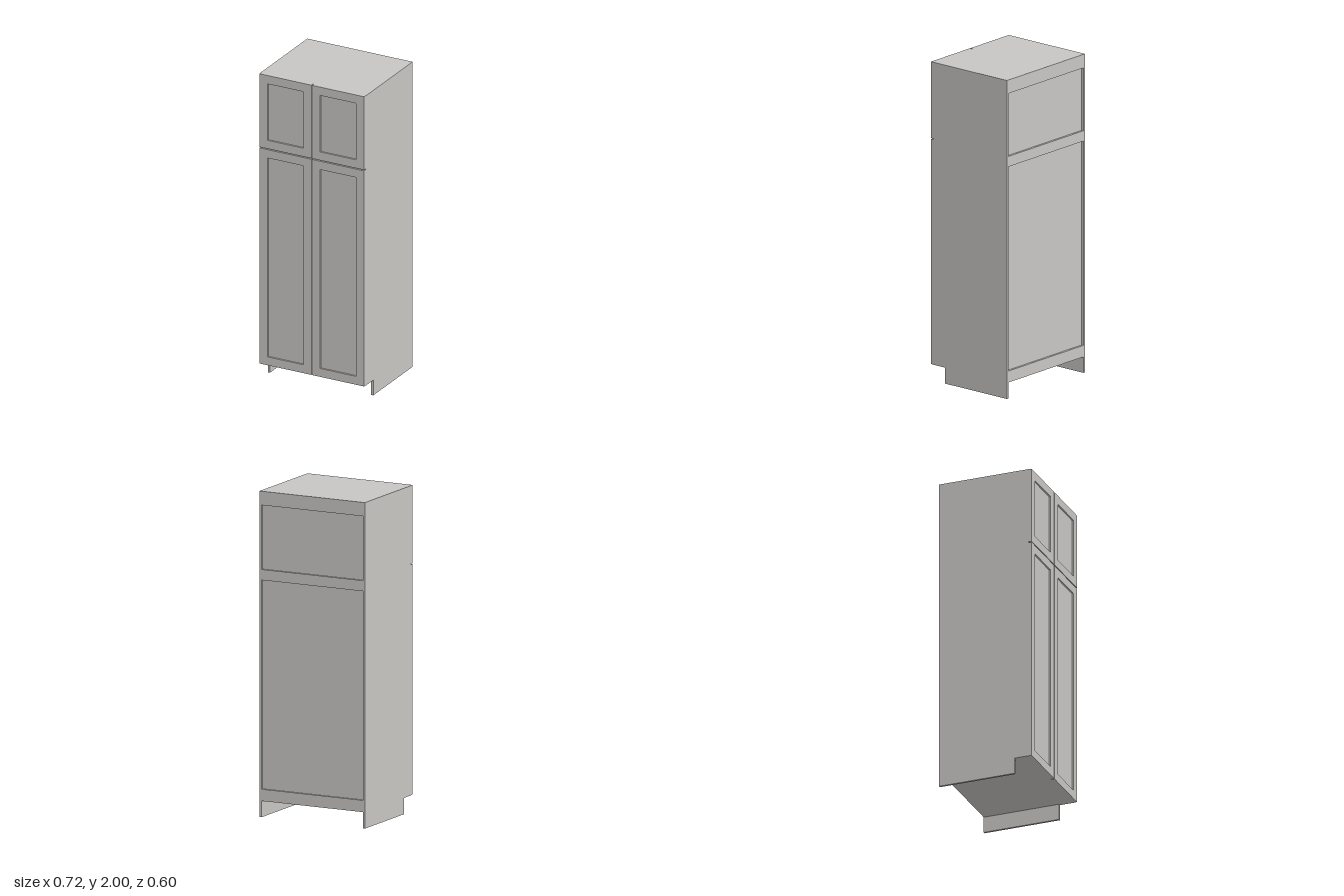
import * as THREE from 'three';

const W = 0.361;      // half width of the carcass
const BACK = -0.3;    // rear plane
const CASE = 0.28;    // front plane of the carcass, doors sit ahead of it
const FRONT = 0.3;
const T = 0.014;      // board thickness
const KICK = 0.1;     // height of the open toe space

export function createModel() {
  const model = new THREE.Group();
  model.name = 'tallCabinet';
  const paint = new THREE.MeshStandardMaterial({ color: 0xc8c6c3 });
  paint.name = 'warm grey paint';

  const add = (geometry, name, parent = model) => {
    const mesh = new THREE.Mesh(geometry, paint);
    mesh.name = name;
    parent.add(mesh);
    return mesh;
  };

  // Box given by its opposite corners
  const board = (name, x0, x1, y0, y1, z0, z1, parent) => {
    const mesh = add(new THREE.BoxGeometry(x1 - x0, y1 - y0, z1 - z0), name, parent);
    mesh.position.set((x0 + x1) / 2, (y0 + y1) / 2, (z0 + z1) / 2);
    return mesh;
  };

  // Side panels with a toe notch at the lower front
  const profile = new THREE.Shape([
    [BACK, 0], [0.19, 0], [0.19, KICK], [CASE, KICK], [CASE, 2], [BACK, 2],
  ].map(([z, y]) => new THREE.Vector2(-z, y)));
  for (const side of [-1, 1]) {
    const geometry = new THREE.ExtrudeGeometry(profile, { depth: T, bevelEnabled: false });
    geometry.rotateY(Math.PI / 2); // shape x becomes -z, depth becomes x
    const panel = add(geometry, side > 0 ? 'leftSidePanel' : 'rightSidePanel');
    panel.position.x = side > 0 ? W - T : -W;
  }

  // Horizontal boards between the sides
  const inner = W - T;
  const backFace = BACK + T;
  for (const [name, y] of [['floorBoard', KICK], ['fixedShelf', 1.509], ['topBoard', 2 - T]]) {
    board(name, -inner, inner, y, y + T, backFace, CASE);
  }

  // Back panel, set in behind three rails
  board('backPanel', -inner, inner, KICK, 2, backFace, backFace + 0.008);
  for (const [name, y0, y1] of [
    ['lowerBackRail', KICK, 0.172], ['middleBackRail', 1.455, 1.52], ['upperBackRail', 1.915, 2],
  ]) {
    board(name, -inner, inner, y0, y1, BACK, backFace);
  }

  // Framed doors with recessed centre panels
  const rectangle = (Type, x0, x1, y0, y1) => new Type([
    new THREE.Vector2(x0, y0), new THREE.Vector2(x1, y0),
    new THREE.Vector2(x1, y1), new THREE.Vector2(x0, y1),
  ]);
  const border = 0.055;
  for (const side of [-1, 1]) {
    for (const [row, y0, y1] of [['lower', KICK, 1.514], ['upper', 1.52, 2]]) {
      const door = new THREE.Group();
      door.name = row + (side > 0 ? 'LeftDoor' : 'RightDoor');
      const x0 = side > 0 ? 0.003 : -0.359;
      const x1 = side > 0 ? 0.359 : -0.003;
      const shape = rectangle(THREE.Shape, x0, x1, y0, y1);
      shape.holes.push(rectangle(THREE.Path, x0 + border, x1 - border, y0 + border, y1 - border));
      const frame = add(new THREE.ExtrudeGeometry(shape, { depth: FRONT - CASE, bevelEnabled: false }),
        'doorFrame', door);
      frame.position.z = CASE;
      board('doorPanel', x0 + border, x1 - border, y0 + border, y1 - border, CASE, FRONT - 0.01, door);
      model.add(door);
    }
  }

  return model;
}
